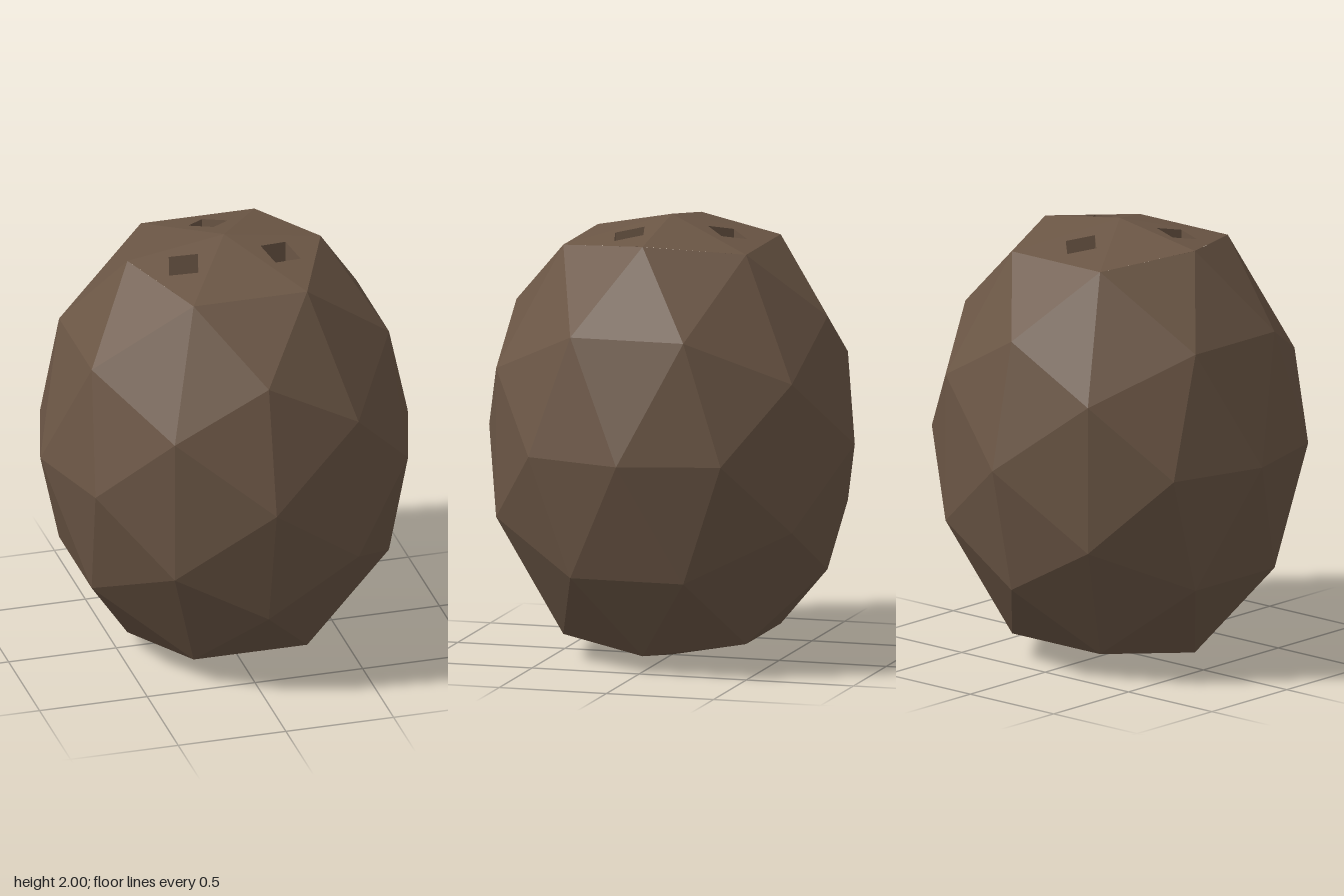
import * as THREE from 'three';

const R = 0.853;        // horizontal radius
const STRETCH = 1.28;   // vertical stretch of the faceted ball
const PIT_R = 0.092, PIT_DIST = 0.26, PIT_FLOOR = 1.83;

const brown = new THREE.MeshStandardMaterial({ color: 0x6b5645 });
brown.name = 'huskBrown';
const brownInside = new THREE.MeshStandardMaterial({ color: 0x6b5645, side: THREE.DoubleSide });
brownInside.name = 'pitBrown';

function flat(geometry) {
  const g = geometry.index ? geometry.toNonIndexed() : geometry;
  g.computeVertexNormals();
  return g;
}

function addMesh(group, name, geometry, material) {
  const mesh = new THREE.Mesh(geometry, material);
  mesh.name = name;
  group.add(mesh);
}

// Ring of six corners around the top, ordered by angle
const ring = [
  [0.526, 0.851, 0], [0.309, 0.809, 0.5], [-0.309, 0.809, 0.5],
  [-0.526, 0.851, 0], [-0.309, 0.809, -0.5], [0.309, 0.809, -0.5],
].map(([x, y, z]) => new THREE.Vector3(x * R, 1 + y * R * STRETCH, z * R));
const apex = new THREE.Vector3(0, 2, 0);

// Stretched faceted ball with flattened poles, left open at the top
function shellGeometry() {
  const p = new THREE.IcosahedronGeometry(R, 1).attributes.position;
  const out = [];
  for (let i = 0; i < p.count; i += 3) {
    const corners = [0, 1, 2].map(k => new THREE.Vector3().fromBufferAttribute(p, i + k));
    if (corners.some(v => v.y > R * 0.99)) continue;
    for (const v of corners) {
      const y = v.y < -R * 0.99 ? 0 : 1 + v.y * STRETCH;
      out.push(v.x, y, v.z);
    }
  }
  const g = new THREE.BufferGeometry();
  g.setAttribute('position', new THREE.Float32BufferAttribute(out, 3));
  return flat(g);
}

export function createModel() {
  const model = new THREE.Group();
  model.name = 'coconut';
  addMesh(model, 'shell', shellGeometry(), brown);

  // Six top facets; every second one has a square pit
  const pits = { 0: Math.PI / 3, 2: -Math.PI / 3, 4: Math.PI };
  for (let i = 0; i < 6; i++) {
    const a = ring[i], b = ring[(i + 1) % 6];
    const n = b.clone().sub(apex).cross(a.clone().sub(apex));
    const heightAt = (x, z) => 2 - (n.x * x + n.z * z) / n.y;

    const shape = new THREE.Shape([apex, a, b].map(v => new THREE.Vector2(v.x, -v.z)));
    const hasPit = i in pits;
    const angle = pits[i];
    const cx = hasPit ? Math.sin(angle) * PIT_DIST : 0;
    const cz = hasPit ? Math.cos(angle) * PIT_DIST : 0;
    if (hasPit) {
      const hole = [0, 1, 2, 3].map(k => {
        const t = angle + k * Math.PI / 2;
        return new THREE.Vector2(cx + Math.sin(t) * PIT_R, -(cz + Math.cos(t) * PIT_R));
      });
      shape.holes.push(new THREE.Path(hole));
    }
    const facet = new THREE.ShapeGeometry(shape).rotateX(-Math.PI / 2);
    const fp = facet.attributes.position;
    for (let k = 0; k < fp.count; k++) fp.setY(k, heightAt(fp.getX(k), fp.getZ(k)));
    addMesh(model, 'topFacet', flat(facet), brown);
    if (!hasPit) continue;

    // Pit walls follow the slope of the facet at their rim
    const walls = new THREE.CylinderGeometry(PIT_R, PIT_R, 1, 4, 1, true, angle);
    walls.translate(cx, 0, cz);
    const wp = walls.attributes.position;
    for (let k = 0; k < wp.count; k++) {
      wp.setY(k, wp.getY(k) > 0 ? heightAt(wp.getX(k), wp.getZ(k)) : PIT_FLOOR);
    }
    addMesh(model, 'pitWalls', flat(walls), brownInside);

    const floor = new THREE.CircleGeometry(PIT_R, 4).rotateX(-Math.PI / 2).rotateY(angle);
    floor.translate(cx, PIT_FLOOR, cz);
    addMesh(model, 'pitFloor', floor, brown);
  }
  return model;
}
